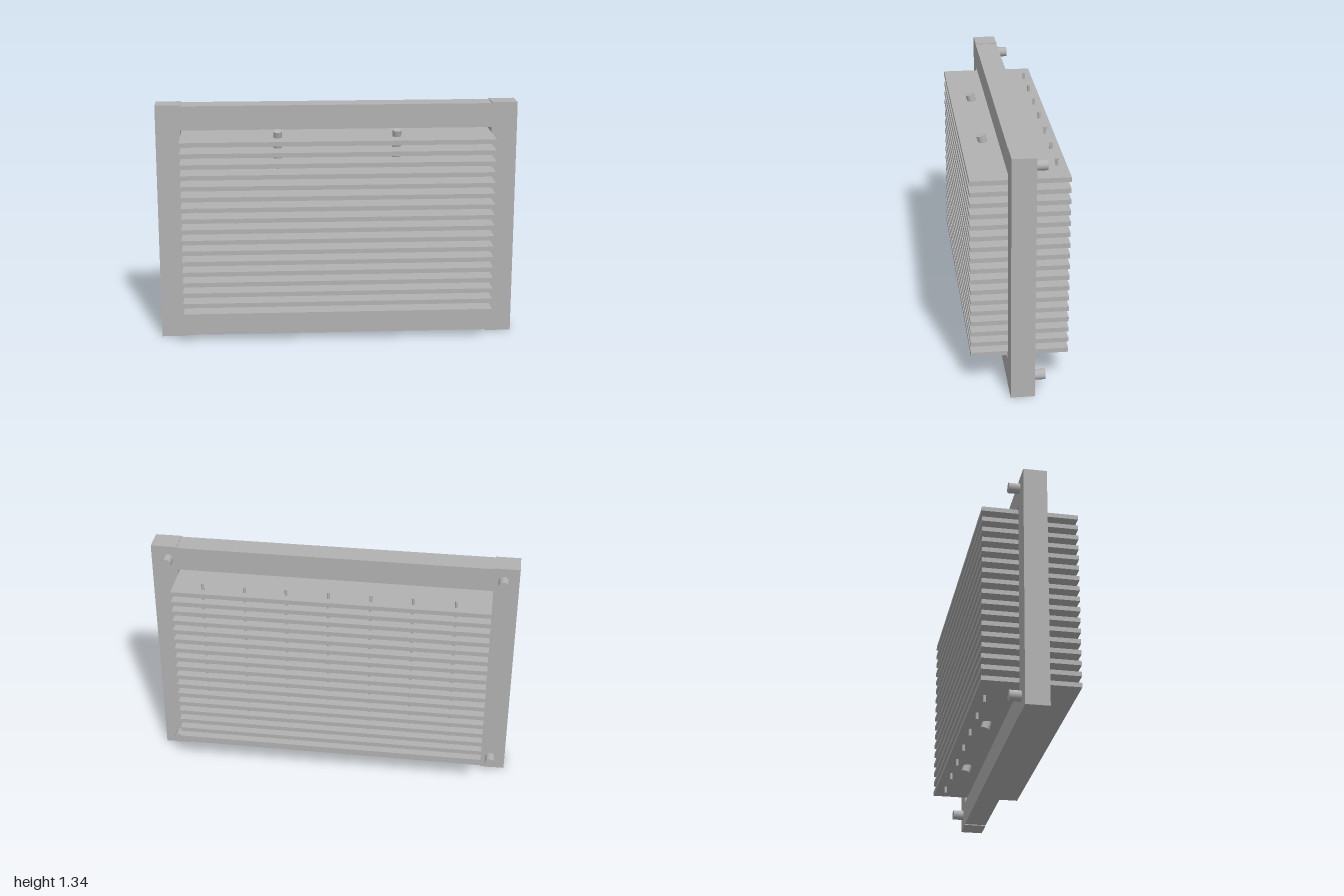
import * as THREE from 'three';

export function createModel() {
  const model = new THREE.Group();
  model.name = 'louvreWindow';
  const grey = new THREE.MeshStandardMaterial({ color: 0xb2b2b2 });
  grey.name = 'plain grey';

  function add(name, geometry, x, y, z) {
    const mesh = new THREE.Mesh(geometry, grey);
    mesh.name = name;
    mesh.position.set(x, y, z);
    model.add(mesh);
    return mesh;
  }
  // box given by its x and y limits, centred in depth
  function slab(name, x0, x1, y0, y1, depth) {
    add(name, new THREE.BoxGeometry(x1 - x0, y1 - y0, depth), (x0 + x1) / 2, (y0 + y1) / 2, 0);
  }

  const inLeft = 0.858, inRight = -0.864, height = 1.337, depth = 0.126;

  // frame: full-height stiles, with rails set in slightly at top and bottom
  slab('leftStile', inLeft, 1, 0, height, depth);
  slab('rightStile', -1, inRight, 0, height, depth);
  slab('bottomRail', inRight, inLeft, 0.005, 0.144, depth);
  slab('topRail', inRight, inLeft, 1.197, 1.332, depth);

  // horizontal slats passing through the frame
  for (let i = 0; i < 17; i++) {
    const y = 0.185 + i * 0.0607;
    slab('slat', inRight, inLeft, y - 0.0125, y + 0.0125, 0.513);
  }

  // thin upright wires behind the frame
  for (let i = 0; i < 7; i++) {
    add('wire', new THREE.CylinderGeometry(0.008, 0.008, 1.07, 12), -0.677 + i * 0.2277, 0.67, -0.207);
  }

  // two thicker rods leaning forward through the slats
  for (const x of [-0.33, 0.323]) {
    const rod = add('leaningRod', new THREE.CylinderGeometry(0.024, 0.024, 1.112, 16), x, 0.67, 0.001);
    rod.rotation.x = Math.atan2(0.294, 1.072);
  }

  // mounting pegs on the back corners
  for (const x of [-0.917, 0.908]) {
    for (const y of [0.076, 1.264]) {
      const peg = add('mountingPeg', new THREE.CylinderGeometry(0.028, 0.028, 0.06, 16), x, y, -0.098);
      peg.rotation.x = Math.PI / 2;
    }
  }

  return model;
}
